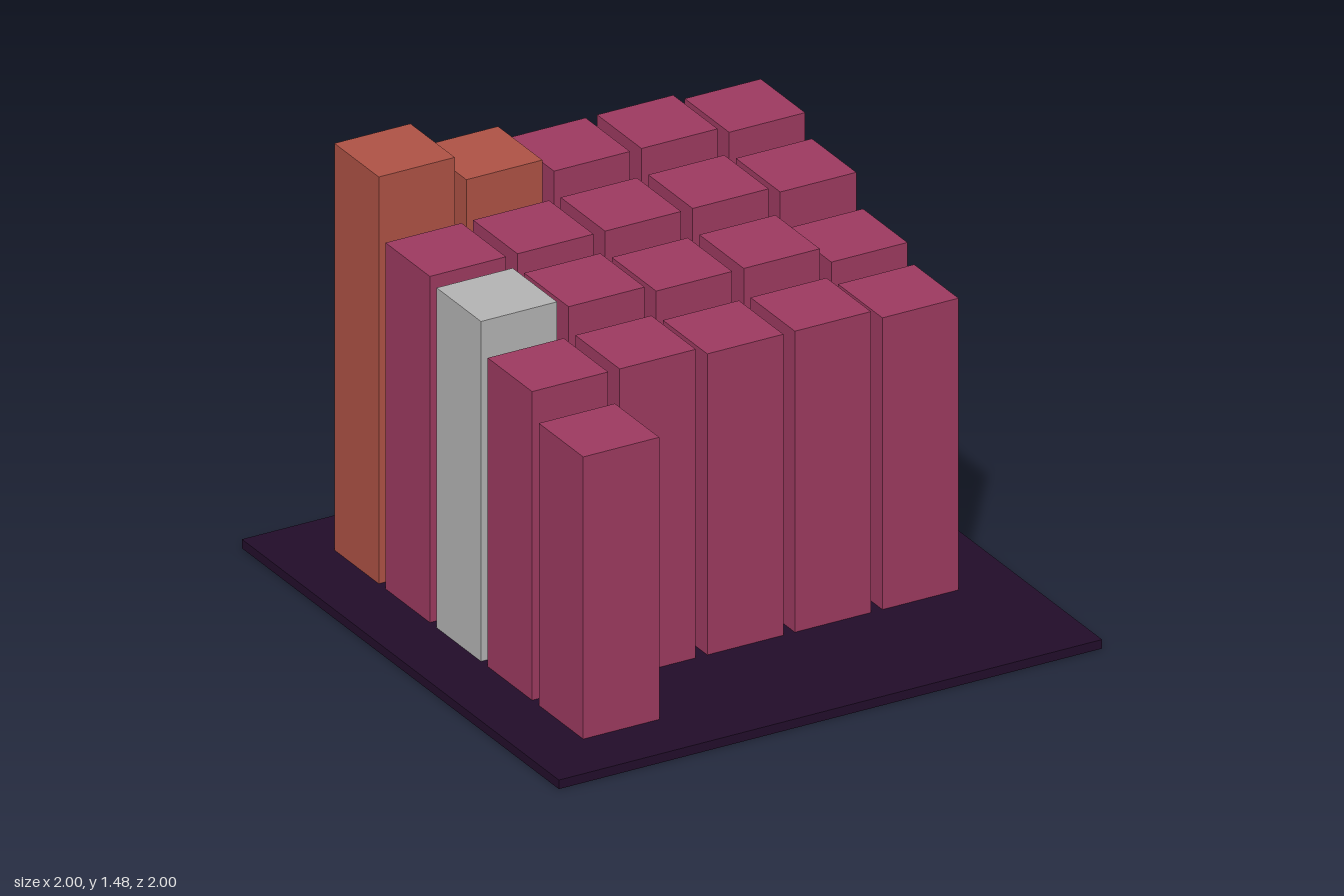
import * as THREE from 'three';

const mat = (name, color) => {
  const m = new THREE.MeshStandardMaterial({ color });
  m.name = name;
  return m;
};

export function createModel() {
  const model = new THREE.Group();
  model.name = 'barGrid';
  const plum = mat('plum', 0x9d3a60);
  const rust = mat('rust', 0xae5245);
  const grey = mat('grey', 0xb4b4b4);
  const dark = mat('darkPurple', 0x220d2a);

  const baseTop = 0.032;
  const box = (name, w, y0, y1, x, z, material) => {
    const mesh = new THREE.Mesh(new THREE.BoxGeometry(w, y1 - y0, w), material);
    mesh.position.set(x, (y0 + y1) / 2, z);
    mesh.name = name;
    model.add(mesh);
  };

  // Square base plate
  box('base', 2, 0, baseTop, 0, 0, dark);

  // Top heights of the bars, rows from back to front, columns along +x
  const tops = [
    [1.475, 1.385, 1.335, 1.335, 1.312],
    [1.26, 1.26, 1.26, 1.26, 1.238],
    [1.238, 1.21, 1.185, 1.185, 1.127],
    [1.127, 1.127, 1.1, 1.1, 1.067],
    [1.033],
  ];
  // Bars that differ from the common colour
  const special = { '0,0': rust, '0,1': rust, '2,0': grey };
  const pitch = 0.3225;
  tops.forEach((row, r) => row.forEach((top, c) => {
    box(`bar_row${r + 1}_column${c + 1}`, 0.28, baseTop, top,
      (c - 2) * pitch, (r - 2) * pitch, special[`${r},${c}`] ?? plum);
  }));
  return model;
}
